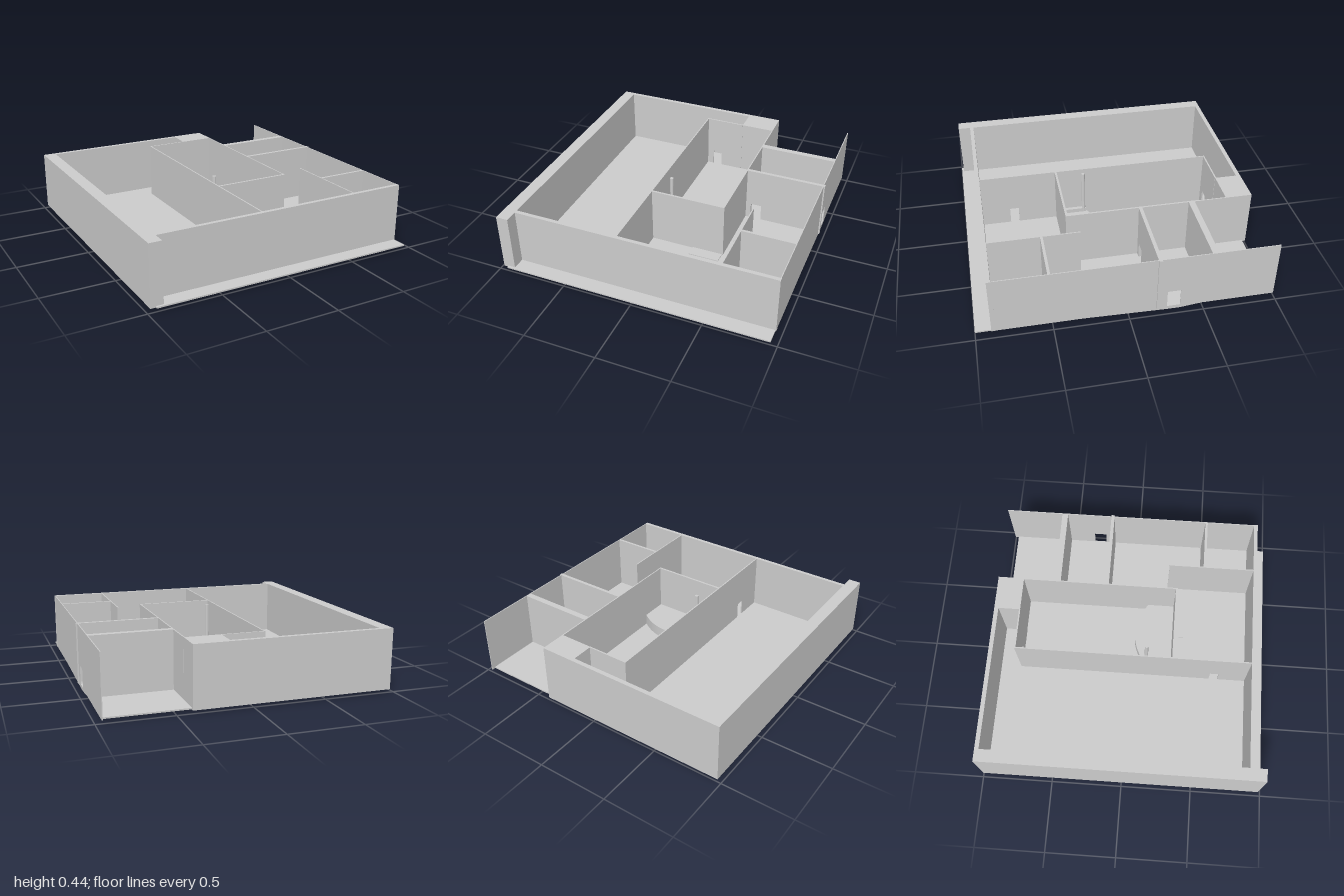
import * as THREE from 'three';

const BASE = 0.02, TOP = 0.437;

export function createModel() {
  const model = new THREE.Group();
  const material = new THREE.MeshStandardMaterial({ color: 0xcccccc, flatShading: true, side: THREE.DoubleSide });

  function add(name, geometry) {
    const mesh = new THREE.Mesh(geometry, material);
    mesh.name = name;
    model.add(mesh);
    return mesh;
  }

  // Box given by its lower and upper limits on each axis
  function block(name, x0, x1, y0, y1, z0, z1) {
    const g = new THREE.BoxGeometry(x1 - x0, y1 - y0, z1 - z0);
    g.translate((x0 + x1) / 2, (y0 + y1) / 2, (z0 + z1) / 2);
    return add(name, g);
  }

  function polygon(points) {
    return new THREE.Shape(points.map(([a, b]) => new THREE.Vector2(a, b)));
  }

  // Wall with rectangular openings [from, to, bottom, top]; dip adds points to its lower edge
  function openWall(name, axis, from, to, near, far, openings, dip = []) {
    const s = axis === 'z' ? -1 : 1;
    const shape = polygon([[from, BASE], ...dip, [to, BASE], [to, TOP], [from, TOP]].map(([a, b]) => [a * s, b]));
    for (const [a, b, y0, y1] of openings) {
      shape.holes.push(polygon([[a, y0], [a, y1], [b, y1], [b, y0]].map(([p, q]) => [p * s, q])));
    }
    const g = new THREE.ExtrudeGeometry(shape, { depth: far - near, bevelEnabled: false });
    g.translate(0, 0, near);
    if (axis === 'z') g.rotateY(Math.PI / 2);
    return add(name, g);
  }

  // Floor with a strip running out past the front wall
  block('floor', -0.94, 0.955, BASE, 0.03, -0.975, 1);

  // Thick outer walls
  block('leftOuterWall', -0.975, -0.888, BASE, TOP, -1, 0.985);
  block('backOuterWall', -0.888, 0.15, BASE, TOP, -1, -0.97);
  block('backSolidCorner', 0.15, 0.397, BASE, TOP, -1, -0.812);
  block('frontOuterWall', -0.888, 0.96, BASE, TOP, 0.868, 0.895);

  // Thin right wall with its small door and dipping lower edge
  openWall('rightOuterWall', 'z', -1, 0.895, 0.952, 0.958, [[-0.35, -0.26, 0.03, 0.157]],
    [[-0.5, BASE], [-0.35, 0.003], [-0.26, 0.003], [0.3, BASE]]);

  // Walls around the long middle room
  openWall('middleRoomLeftWall', 'z', -0.818, 0.87, -0.148, -0.139, [[0.6, 0.665, 0.03, 0.15]]);
  openWall('middleRoomBackWall', 'x', -0.148, 0.15, -0.82, -0.81, [[-0.09, -0.02, 0.03, 0.15]]);
  block('middleRoomRightWall', 0.39, 0.398, BASE, TOP, -0.812, 0.32);
  block('middleRoomFrontWall', -0.14, 0.398, BASE, TOP, 0.305, 0.32);

  // Partitions of the right-hand rooms
  block('rearPartition', 0.398, 0.952, BASE, TOP, -0.585, -0.542);
  openWall('centrePartition', 'x', 0.398, 0.968, -0.212, -0.188, [[0.435, 0.515, 0.03, 0.15]]);
  block('frontPartition', 0.58, 0.952, BASE, TOP, 0.5, 0.518);
  block('hallWall', 0.577, 0.585, BASE, TOP, 0.25, 0.87);

  // Low platform with a bowed front
  const outline = new THREE.Shape();
  outline.moveTo(-0.085, -0.305);
  outline.lineTo(0.39, -0.305);
  outline.lineTo(0.39, -0.11);
  outline.quadraticCurveTo(0.155, 0.065, -0.085, -0.11);
  outline.closePath();
  const platform = new THREE.ExtrudeGeometry(outline, { depth: 0.08, bevelEnabled: false, curveSegments: 20 });
  platform.rotateX(-Math.PI / 2);
  platform.translate(0, 0.03, 0);
  add('curvedPlatform', platform);

  // Steps and rail beside the platform
  block('platformRail', -0.085, -0.06, 0.03, 0.14, 0.105, 0.305);
  block('platformStep', -0.139, -0.09, 0.03, 0.09, 0.21, 0.305);
  block('roomStep', 0.17, 0.39, 0.03, 0.036, 0.32, 0.4);

  // Posts that pass through the floor
  function post(name, x, z, radius, y0, y1) {
    const g = new THREE.CylinderGeometry(radius, radius, y1 - y0, 12);
    g.translate(x, (y0 + y1) / 2, z);
    add(name, g);
  }
  post('platformPost', -0.072, 0.12, 0.013, 0.01, 0.443);
  post('floorPeg', 0.55, 0.265, 0.02, 0, 0.03);

  // Small free-standing panel in the hall
  block('hallPanel', 0.455, 0.53, 0.03, 0.14, 0.253, 0.268);

  return model;
}
